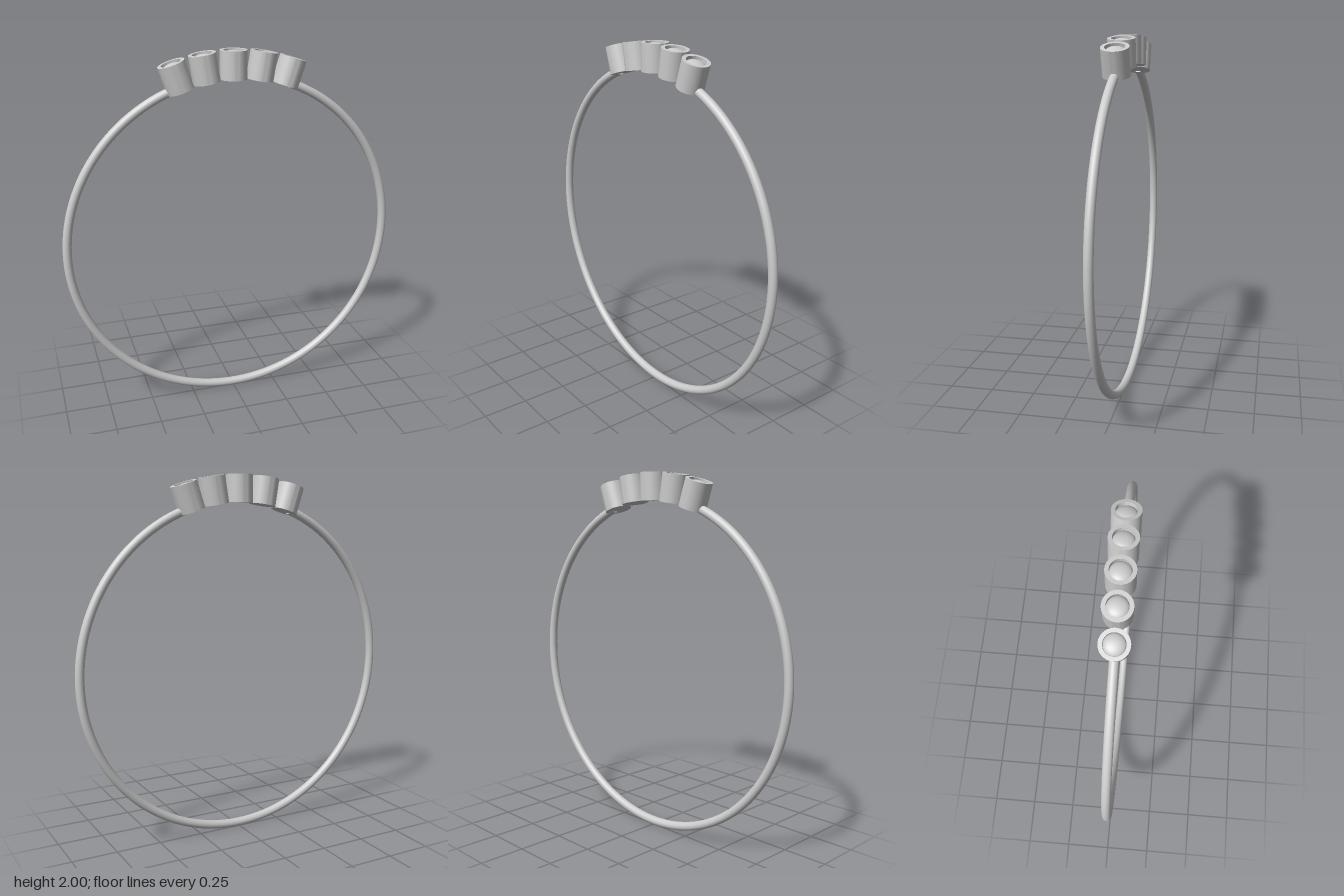
import * as THREE from 'three';
import { mergeGeometries, toCreasedNormals } from 'three/addons/utils/BufferGeometryUtils.js';

const CENTRE_Y = 0.946;   // centre of the hoop
const BAND_R = 0.921;     // hoop radius
const WIRE_R = 0.024;     // wire thickness
const GAP = 0.35;         // half angle left open under the settings
const CUP_R = 0.073, CUP_HALF = 0.075, BORE_R = 0.053;
const STEP = 0.16;        // angle between neighbouring settings

const material = new THREE.MeshStandardMaterial({ color: 0xcccccc });

function add(parent, geometry, name) {
  const mesh = new THREE.Mesh(geometry, material);
  mesh.name = name;
  parent.add(mesh);
  return mesh;
}

// Open hoop of round wire with flat ends
function bandGeometry() {
  const arc = Math.PI * 2 - GAP * 2;
  const wire = new THREE.TorusGeometry(BAND_R, WIRE_R, 24, 160, arc);
  const startCap = new THREE.CircleGeometry(WIRE_R, 24).rotateX(Math.PI / 2).translate(BAND_R, 0, 0);
  const endCap = new THREE.CircleGeometry(WIRE_R, 24).rotateX(-Math.PI / 2).translate(BAND_R, 0, 0).rotateZ(arc);
  return mergeGeometries([wire, startCap, endCap]).rotateZ(Math.PI / 2 + GAP);
}

// Round cup with a flat rim and a shallow bore
function cupGeometry() {
  const profile = [
    [0, -CUP_HALF], [CUP_R, -CUP_HALF], [CUP_R, CUP_HALF],
    [BORE_R, CUP_HALF], [BORE_R, CUP_HALF - 0.04], [0, CUP_HALF - 0.04],
  ].map(([x, y]) => new THREE.Vector2(x, y));
  return toCreasedNormals(new THREE.LatheGeometry(profile, 48), 0.6);
}

// Low domed stone that sits inside the bore
function stoneGeometry() {
  return new THREE.SphereGeometry(BORE_R, 40, 12, 0, Math.PI * 2, 0, Math.PI / 2)
    .scale(1, 0.45, 1)
    .translate(0, CUP_HALF - 0.026, 0);
}

export function createModel() {
  const ring = new THREE.Group();
  ring.name = 'ring';

  add(ring, bandGeometry(), 'band').position.y = CENTRE_Y;

  // Five settings fanned over the top of the band
  const cup = cupGeometry();
  const stone = stoneGeometry();
  const radius = 2 - CENTRE_Y - CUP_HALF;
  for (let i = -2; i <= 2; i++) {
    const angle = i * STEP;
    const setting = new THREE.Group();
    setting.name = 'setting';
    setting.position.set(Math.sin(angle) * radius, CENTRE_Y + Math.cos(angle) * radius, 0);
    setting.rotation.z = -angle;
    add(setting, cup, 'cup');
    add(setting, stone, 'stone');
    ring.add(setting);
  }
  return ring;
}
